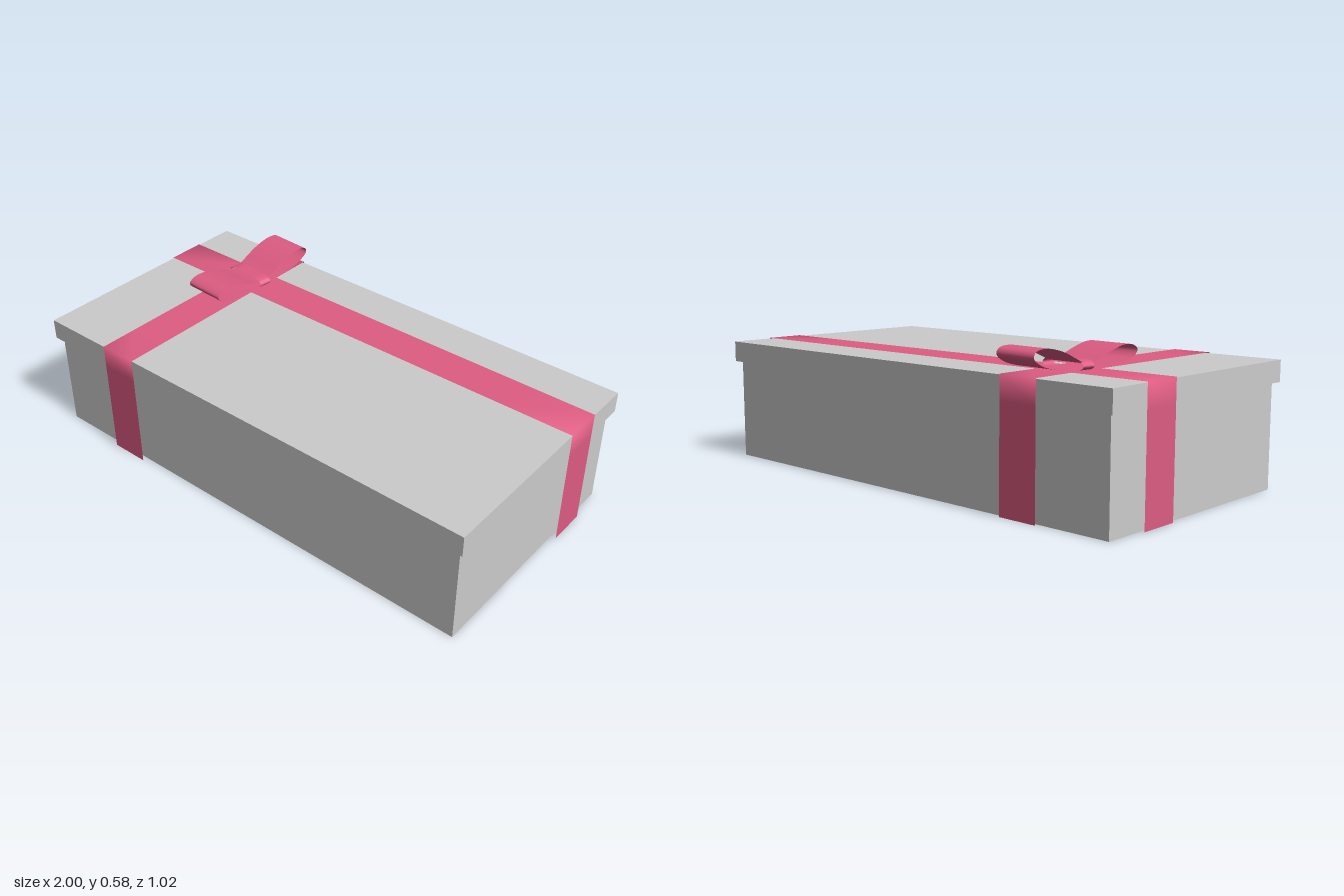
import * as THREE from 'three';

const grey = new THREE.MeshStandardMaterial({ color: 0xcccccc });
const pink = new THREE.MeshStandardMaterial({ color: 0xdd5c82, side: THREE.DoubleSide });

function add(parent, name, geometry, material) {
  const mesh = new THREE.Mesh(geometry, material);
  mesh.name = name;
  parent.add(mesh);
  return mesh;
}

// Upright rectangular frame, open above and below; sizes are half-widths
function frame(x, z, innerX, innerZ, y0, y1) {
  const rect = (path, a, b) =>
    path.setFromPoints([[-a, -b], [a, -b], [a, b], [-a, b]].map(p => new THREE.Vector2(...p)));
  const shape = rect(new THREE.Shape(), x, z);
  shape.holes.push(rect(new THREE.Path(), innerX, innerZ));
  const g = new THREE.ExtrudeGeometry(shape, { depth: y1 - y0, bevelEnabled: false });
  return g.rotateX(-Math.PI / 2).translate(0, y0, 0);
}

// Thin band following [x, y] points, its width running along z
function band(points, width) {
  const g = new THREE.PlaneGeometry(1, width, points.length - 1, 1);
  const pos = g.attributes.position;
  for (let i = 0; i < pos.count; i++) {
    const [x, y] = points[i % points.length];
    pos.setXYZ(i, x, y, -pos.getY(i));
  }
  g.computeVertexNormals();
  return g;
}

// Smooth curve through [x, y] points
function smooth(points, closed, n) {
  const curve = new THREE.CatmullRomCurve3(points.map(([x, y]) => new THREE.Vector3(x, y, 0)), closed);
  return curve.getPoints(n).map(p => [p.x, p.y]);
}

export function createModel() {
  const model = new THREE.Group();
  model.name = 'giftBox';

  // Box walls (open underneath) and overhanging lid
  add(model, 'boxWalls', frame(0.978, 0.484, 0.974, 0.48, 0, 0.486), grey);
  const lid = new THREE.Group();
  lid.name = 'lid';
  model.add(lid);
  add(lid, 'lidRim', frame(0.999, 0.505, 0.977, 0.483, 0.405, 0.484), grey);
  add(lid, 'lidTop', new THREE.BoxGeometry(1.998, 0.004, 1.01).translate(0, 0.486, 0), grey);

  // Ribbons over the lid and down the sides
  const drape = (half, mid) => [
    [-half, 0.003], [-half, 0.4], [-half, 0.491], [-half * 0.7, 0.491], [mid, 0.491],
    [half * 0.7, 0.491], [half, 0.491], [half, 0.4], [half, 0.003]];
  const longRibbon = add(model, 'longRibbon', band(drape(1, 0), 0.16), pink);
  longRibbon.position.z = -0.247;
  const crossRibbon = add(model, 'crossRibbon', band(drape(0.508, 0), 0.16), pink);
  crossRibbon.rotation.y = -Math.PI / 2;
  crossRibbon.position.x = -0.612;

  // Bow at the ribbon crossing, slightly turned
  const bow = new THREE.Group();
  bow.name = 'bow';
  bow.position.set(-0.613, 0, -0.25);
  bow.rotation.y = -0.055;
  model.add(bow);
  const loops = {
    frontLoop: [[0, 0.51], [0.04, 0.518], [0.11, 0.545], [0.19, 0.566], [0.24, 0.563], [0.264, 0.545],
      [0.245, 0.52], [0.18, 0.503], [0.09, 0.495], [0, 0.494]],
    backLoop: [[0, 0.497], [-0.06, 0.498], [-0.15, 0.507], [-0.22, 0.526], [-0.256, 0.552], [-0.248, 0.572],
      [-0.2, 0.581], [-0.12, 0.565], [-0.04, 0.53], [0, 0.515]],
  };
  for (const [name, points] of Object.entries(loops)) {
    // the front loop is listed top first, the back loop bottom first: both run outside-up
    add(bow, name, band(smooth(points, false, 40), 0.174), pink).rotation.y = -Math.PI / 2;
  }

  // Flattened ring holding the loops together
  const ring = [[-0.1, 0.508], [-0.085, 0.524], [0, 0.528], [0.085, 0.524], [0.1, 0.508],
    [0.085, 0.495], [0, 0.493], [-0.085, 0.495]];
  add(bow, 'knot', band(smooth(ring, true, 40), 0.052), pink).rotation.y = -0.05;

  return model;
}
